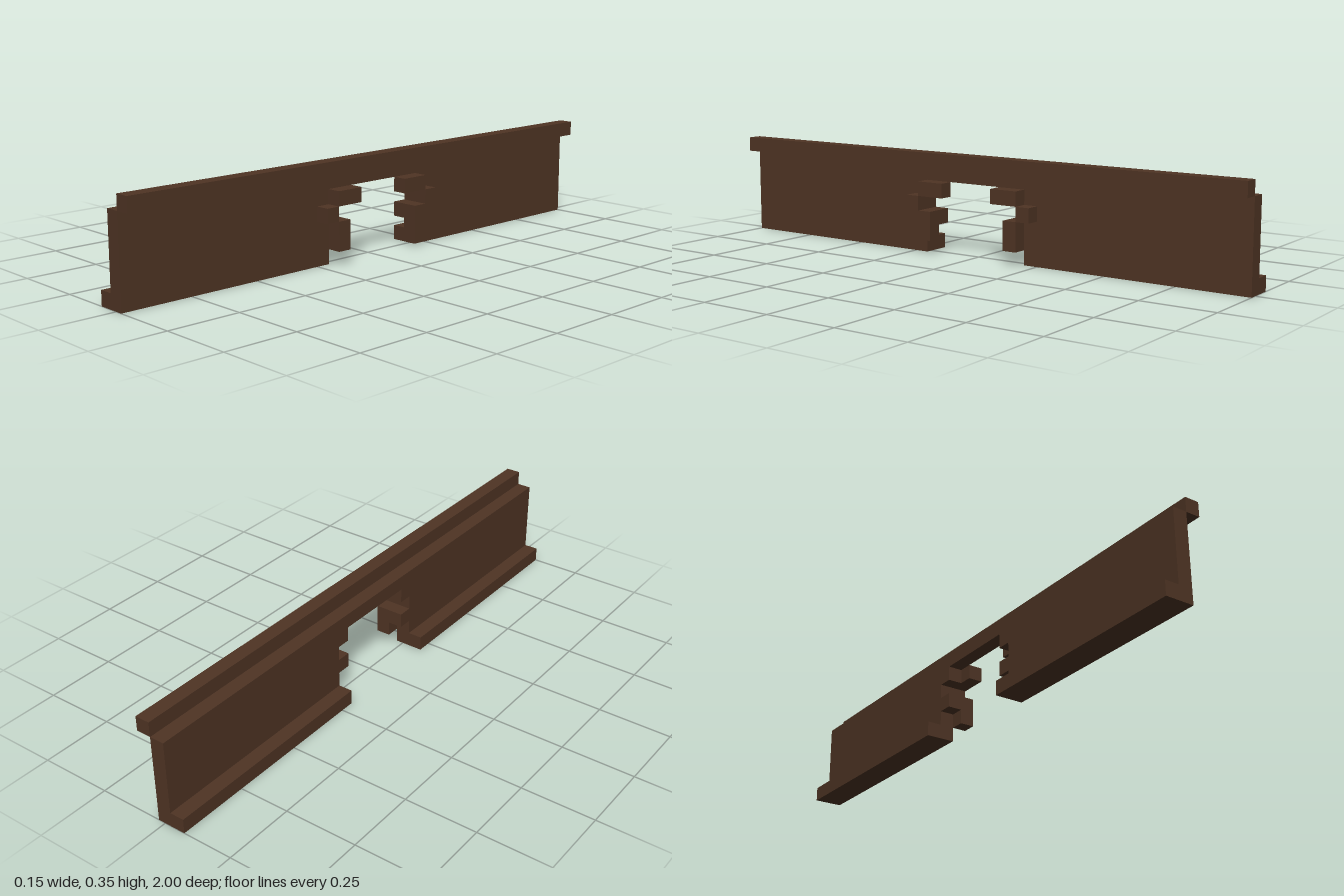
import * as THREE from 'three';

export function createModel() {
  const model = new THREE.Group();
  model.name = 'archedWall';
  const wood = new THREE.MeshStandardMaterial({ color: 0x4f3424 });
  wood.name = 'darkWood';

  // Box from its minimum and maximum corners
  function block(name, [x0, y0, z0], [x1, y1, z1]) {
    const geometry = new THREE.BoxGeometry(x1 - x0, y1 - y0, z1 - z0);
    geometry.translate((x0 + x1) / 2, (y0 + y1) / 2, (z0 + z1) / 2);
    const mesh = new THREE.Mesh(geometry, wood);
    mesh.name = name;
    model.add(mesh);
  }

  // Wall panel with a toothed opening, outlined from the side and mirrored
  const half = [
    [1, 0.3], [1, 0], [0.2, 0], [0.2, 0.1], [0.15, 0.1], [0.15, 0.15],
    [0.2, 0.15], [0.2, 0.2], [0.15, 0.2], [0.15, 0.25],
  ];
  const outline = [...half, ...half.map(([z, y]) => [-z, y]).reverse()];
  const shape = new THREE.Shape(outline.map(([z, y]) => new THREE.Vector2(z, y)));
  const panel = new THREE.ExtrudeGeometry(shape, { depth: 0.05, bevelEnabled: false });
  panel.translate(0, 0, -0.025);
  panel.rotateY(Math.PI / 2);
  const wall = new THREE.Mesh(panel, wood);
  wall.name = 'wallPanel';
  model.add(wall);

  // Top rail along the outer face
  block('topRail', [0.025, 0.3, -1], [0.075, 0.35, 1]);

  // Parts on both sides of the opening: name, x range, y range, distance range from the middle
  const pairs = [
    ['baseboard', [-0.075, -0.025], [0, 0.05], [0.2, 1]],
    ['lowerTrim', [0.025, 0.075], [0.05, 0.15], [0.15, 0.2]],
    ['middleTrim', [0.025, 0.075], [0.15, 0.2], [0.2, 0.25]],
    ['upperTrim', [0.025, 0.075], [0.2, 0.25], [0.1, 0.2]],
  ];
  for (const [name, x, y, z] of pairs) {
    block(name + 'Front', [x[0], y[0], z[0]], [x[1], y[1], z[1]]);
    block(name + 'Back', [x[0], y[0], -z[1]], [x[1], y[1], -z[0]]);
  }

  return model;
}
